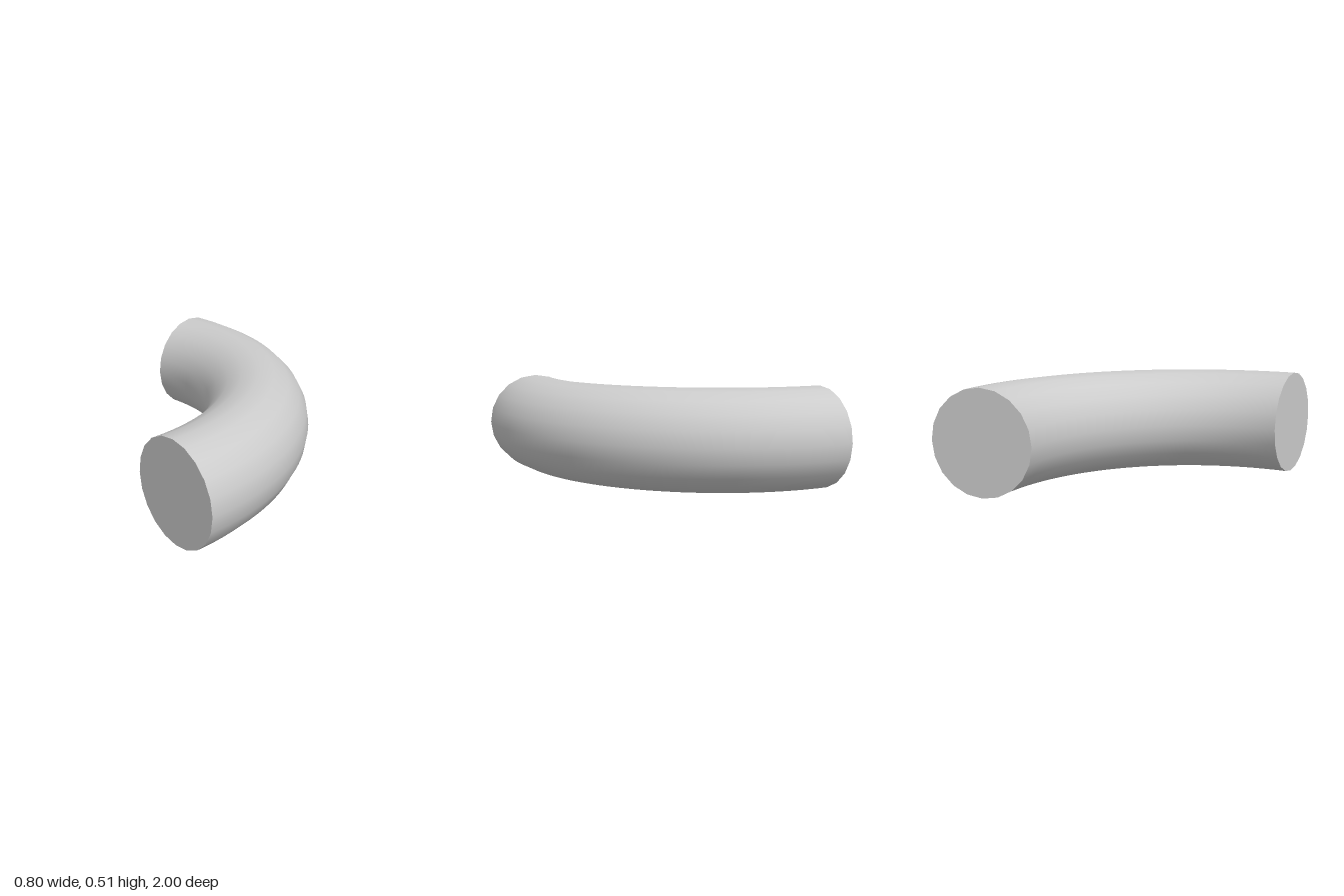
import * as THREE from 'three';

const TUBE_RADIUS = 0.256;
const BEND_RADIUS = 1.0494;
const HALF_ANGLE = THREE.MathUtils.degToRad(50);
const CENTER_X = -0.9077;
const SIDES = 20;

export function createModel() {
  const model = new THREE.Group();
  model.name = 'pipeBend';
  const material = new THREE.MeshStandardMaterial({ color: 0xcccccc });

  // Curved pipe: a 100 degree piece of a torus lying flat
  const pipe = new THREE.TorusGeometry(BEND_RADIUS, TUBE_RADIUS, SIDES, 40, 2 * HALF_ANGLE);
  pipe.rotateZ(-HALF_ANGLE).rotateX(-Math.PI / 2).translate(CENTER_X, TUBE_RADIUS, 0);
  const pipeMesh = new THREE.Mesh(pipe, material);
  pipeMesh.name = 'curvedPipe';
  model.add(pipeMesh);

  // Flat discs closing both ends, facing outwards
  const disc = new THREE.CircleGeometry(TUBE_RADIUS, SIDES);
  for (const side of [1, -1]) {
    const angle = side * HALF_ANGLE;
    const cap = new THREE.Mesh(disc, material);
    cap.name = side > 0 ? 'frontEndCap' : 'backEndCap';
    cap.position.set(
      CENTER_X + BEND_RADIUS * Math.cos(angle),
      TUBE_RADIUS,
      BEND_RADIUS * Math.sin(angle)
    );
    cap.rotation.y = side > 0 ? -angle : Math.PI - angle;
    model.add(cap);
  }

  return model;
}
